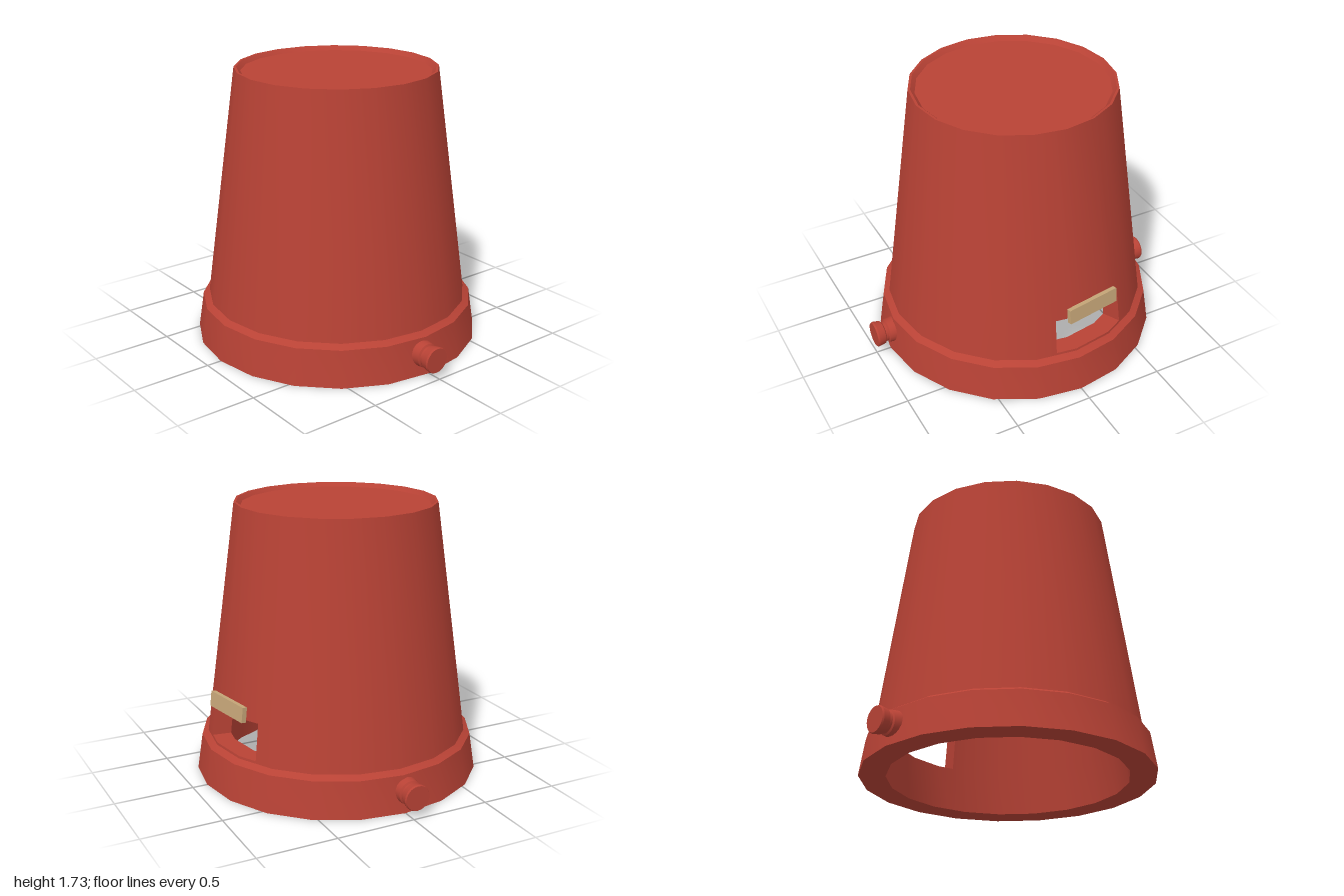
import * as THREE from 'three';
import { toCreasedNormals } from 'three/addons/utils/BufferGeometryUtils.js';

const SIDES = 20, STEP = 360 / SIDES;
const red = new THREE.MeshStandardMaterial({ color: 0xb84235 });
const tan = new THREE.MeshStandardMaterial({ color: 0xc6a678 });

// Closed wall section [radius, height]: recessed top, outer wall, collar, inner wall, ceiling
const SECTION = [
  [0, 1.705], [0.59, 1.705], [0.615, 1.73], [0.63, 1.73],
  [0.797, 0.5], [0.828, 0.27], [0.83, 0.255], [0.87, 0.23], [0.905, 0],
  [0.74, 0], [0.71, 0.27], [0.684, 0.5], [0.56, 1.62], [0, 1.62],
];
const FULL = SECTION.map((_, i) => i);
const BELOW_WINDOW = [5, 6, 7, 8, 9, 10, 5];
const ABOVE_WINDOW = [0, 1, 2, 3, 4, 11, 12, 13];
const WINDOW = [-9, 27]; // degrees, counted from the back towards -x

// Point of the section on the twenty-sided outline
function wallPoint(angle, index) {
  const [radius, y] = SECTION[index];
  const inFacet = (((angle % STEP) + STEP) % STEP) - STEP / 2;
  const r = radius * Math.cos(Math.PI / SIDES) / Math.cos(THREE.MathUtils.degToRad(inFacet));
  const a = THREE.MathUtils.degToRad(angle);
  return new THREE.Vector3(-r * Math.sin(a), y, -r * Math.cos(a));
}

function bucketGeometry() {
  const positions = [];
  const triangle = (a, b, c) => {
    const area = b.clone().sub(a).cross(c.clone().sub(a)).length();
    if (area > 1e-7) for (const p of [a, b, c]) positions.push(p.x, p.y, p.z);
  };
  const quad = (a, b, c, d) => { triangle(a, b, c); triangle(a, c, d); };

  // Columns at every corner, plus the two window edges
  const angles = [...WINDOW];
  for (let i = -1; i < SIDES; i++) angles.push(i * STEP);
  angles.sort((a, b) => a - b);
  for (let k = 0; k < angles.length - 1; k++) {
    const a = angles[k], b = angles[k + 1];
    const open = a >= WINDOW[0] && b <= WINDOW[1];
    for (const strip of open ? [BELOW_WINDOW, ABOVE_WINDOW] : [FULL]) {
      for (let i = 0; i < strip.length - 1; i++) {
        const p = strip[i], q = strip[i + 1];
        quad(wallPoint(a, p), wallPoint(a, q), wallPoint(b, q), wallPoint(b, p));
      }
    }
  }
  // Window jambs
  quad(...[4, 5, 10, 11].map((i) => wallPoint(WINDOW[0], i)));
  quad(...[11, 10, 5, 4].map((i) => wallPoint(WINDOW[1], i)));

  const geometry = new THREE.BufferGeometry();
  geometry.setAttribute('position', new THREE.Float32BufferAttribute(positions, 3));
  return toCreasedNormals(geometry, 0.4);
}

// Grooved handle peg, turned about the x axis
function pegGeometry() {
  const profile = [
    [0, 0.84], [0.085, 0.84], [0.076, 0.915], [0.065, 0.922],
    [0.065, 0.938], [0.075, 0.945], [0.083, 0.99], [0.078, 1], [0, 1],
  ].map(([r, x]) => new THREE.Vector2(r, x));
  const geometry = new THREE.LatheGeometry(profile, 20);
  geometry.rotateZ(-Math.PI / 2);
  return toCreasedNormals(geometry, 0.4);
}

export function createModel() {
  const model = new THREE.Group();
  model.name = 'upturnedBucket';
  const add = (name, geometry, material) => {
    const mesh = new THREE.Mesh(geometry, material);
    mesh.name = name;
    model.add(mesh);
    return mesh;
  };

  add('bucketBody', bucketGeometry(), red);

  // One handle peg on each side
  const peg = pegGeometry();
  for (const side of [1, -1]) {
    const mesh = add(side > 0 ? 'leftPeg' : 'rightPeg', peg, red);
    mesh.position.set(0, 0.13, 0.025);
    mesh.rotation.y = side > 0 ? 0 : Math.PI;
  }

  // Small plank over the window, leaning with the wall
  const plank = add('windowPlank', new THREE.BoxGeometry(0.365, 0.095, 0.03), tan);
  plank.position.set(-0.12, 0.545, -0.795);
  plank.rotation.set(0.12, 0.165, 0, 'YXZ');

  return model;
}
